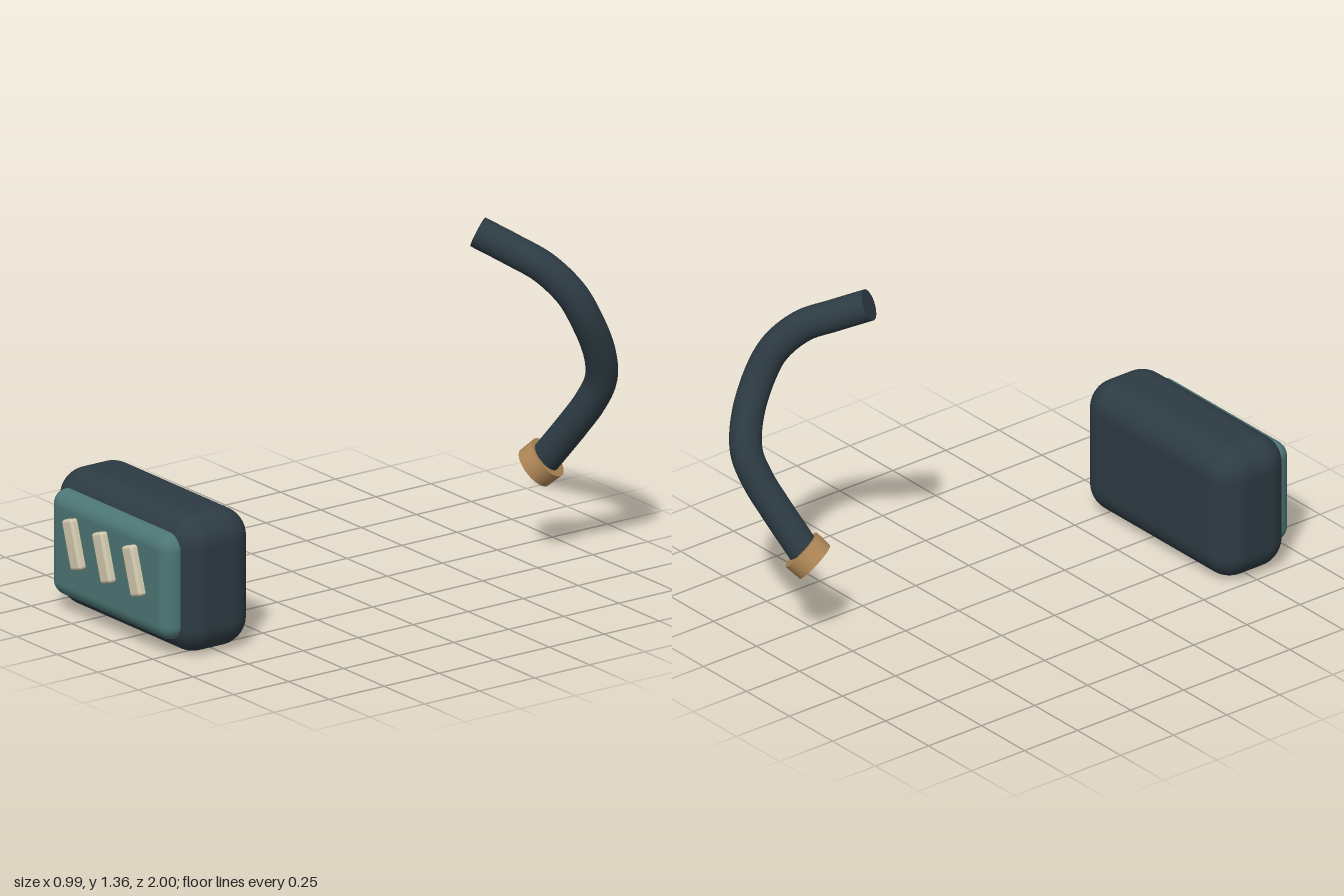
import * as THREE from 'three';
import { RoundedBoxGeometry } from 'three/addons/geometries/RoundedBoxGeometry.js';

function material(name, color) {
  const m = new THREE.MeshStandardMaterial({ color });
  m.name = name;
  return m;
}

export function createModel() {
  const group = new THREE.Group();
  const slate = material('dark slate', 0x2d3b43);
  const teal = material('muted teal', 0x4d7676);
  const cream = material('warm cream', 0xd2c8ae);
  const bronze = material('bronze', 0xb08857);

  function add(name, geometry, mat, x = 0, y = 0, z = 0) {
    const mesh = new THREE.Mesh(geometry, mat);
    mesh.name = name;
    mesh.position.set(x, y, z);
    group.add(mesh);
    return mesh;
  }

  // Pack: rounded body with a raised front panel
  add('body', new RoundedBoxGeometry(0.855, 0.53, 0.325, 6, 0.11), slate, -0.072, 0.265, 0.762);
  add('frontPanel', new RoundedBoxGeometry(0.74, 0.41, 0.14, 5, 0.06), teal, -0.07, 0.265, 0.902);

  // Three slanted bars on the panel
  for (let i = 0; i < 3; i++) {
    const bar = add('slantedBar', new RoundedBoxGeometry(0.066, 0.19, 0.05, 3, 0.012), cream,
      -0.26 + i * 0.185, 0.3, 0.975);
    bar.rotation.z = 0.31;
  }

  // Curved hose with closed ends
  const path = new THREE.CatmullRomCurve3([
    [0.145, 1.31, -0.555], [0.25, 1.25, -0.64], [0.34, 1.195, -0.71], [0.41, 1.1, -0.782],
    [0.433, 1.0, -0.833], [0.42, 0.85, -0.905], [0.385, 0.73, -0.938], [0.335, 0.63, -0.925],
    [0.27, 0.53, -0.895], [0.165, 0.38, -0.845],
  ].map((p) => new THREE.Vector3(...p)));
  const radius = 0.06;
  add('hose', new THREE.TubeGeometry(path, 64, radius, 24), slate);
  for (const t of [0, 1]) {
    const end = path.getPointAt(t);
    const outward = path.getTangentAt(t).multiplyScalar(t ? 1 : -1);
    const cap = add('hoseEnd', new THREE.CircleGeometry(radius, 24), slate, end.x, end.y, end.z);
    cap.quaternion.setFromUnitVectors(new THREE.Vector3(0, 0, 1), outward);
  }

  // Tilted collar at the foot of the hose
  const collar = add('collar', new THREE.CylinderGeometry(0.085, 0.083, 0.068, 28), bronze, 0.15, 0.362, -0.838);
  collar.quaternion.setFromUnitVectors(new THREE.Vector3(0, 1, 0),
    new THREE.Vector3(0.6, 0.66, -0.46).normalize());

  return group;
}
